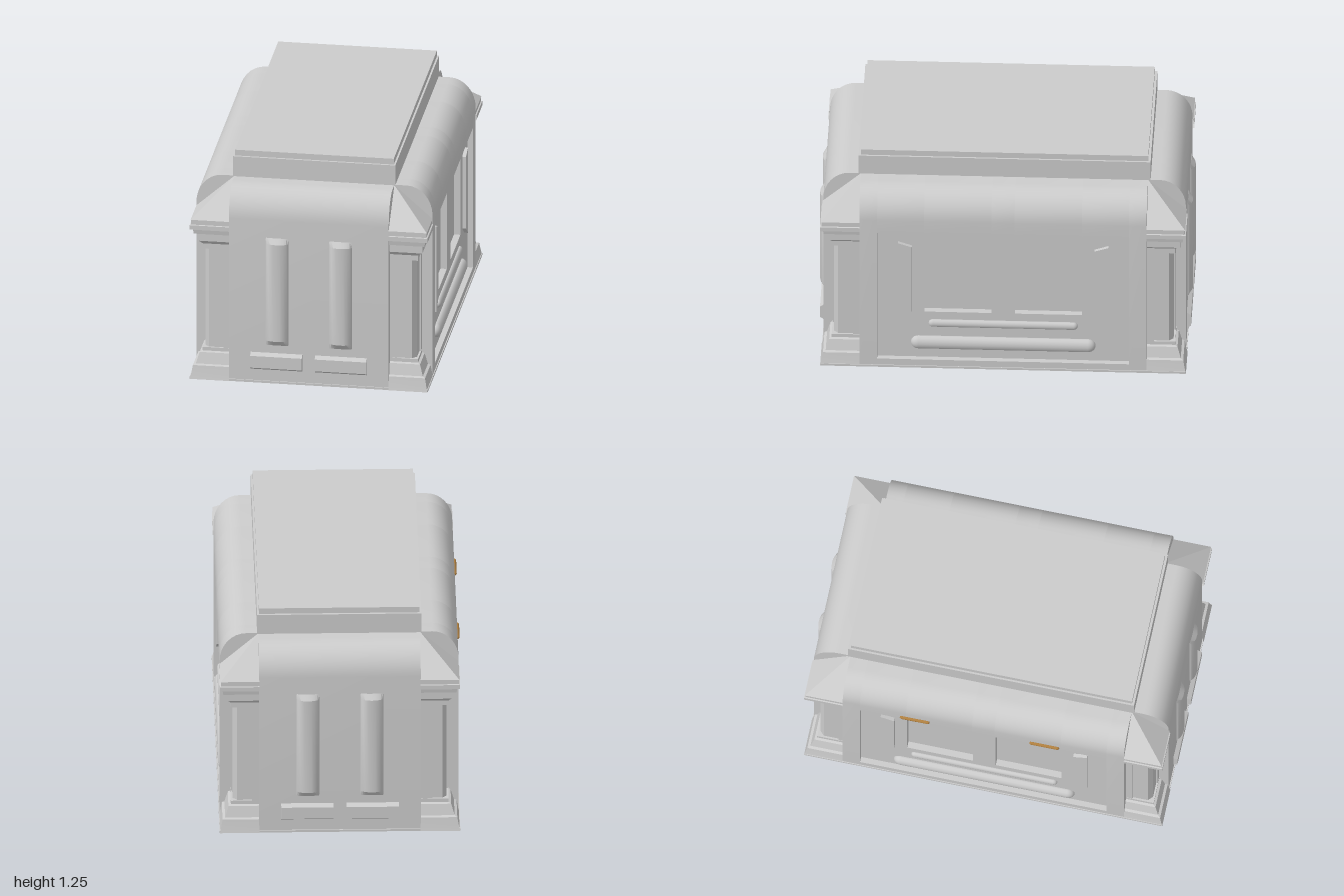
import * as THREE from 'three';
import { toCreasedNormals } from 'three/addons/utils/BufferGeometryUtils.js';

const grey = new THREE.MeshStandardMaterial({ color: 0xcccccc, side: THREE.DoubleSide });
const gold = new THREE.MeshStandardMaterial({ color: 0xb08040 });

function add(parent, name, geo, x = 0, y = 0, z = 0, mat = grey) {
  const m = new THREE.Mesh(geo, mat);
  m.name = name;
  m.position.set(x, y, z);
  parent.add(m);
  return m;
}

const shapeOf = pts => new THREE.Shape(pts.map(p => new THREE.Vector2(p[0], p[1])));
const extrude = (pts, depth) => toCreasedNormals(
  new THREE.ExtrudeGeometry(shapeOf(pts), { depth, bevelEnabled: false }), 0.6);

// Symmetric wall section: steps on the wall, then a rounded shoulder
function section(half, steps) {
  const right = [[half, 0], ...steps];
  for (let i = 0; i <= 8; i++) {
    const a = (i / 8) * Math.PI / 2;
    right.push([half - 0.14 + 0.14 * Math.cos(a), 0.94 + 0.165 * Math.sin(a)]);
  }
  return [...right, ...right.slice().reverse().map(([x, y]) => [-x, y])];
}

// Block whose outer (+z) face is narrowed at top and bottom
function wedgeBlock(w, h, d, bevel) {
  const g = new THREE.BoxGeometry(w, h, d).toNonIndexed();
  const p = g.attributes.position;
  for (let i = 0; i < p.count; i++) {
    if (p.getZ(i) > 0) p.setY(i, p.getY(i) - Math.sign(p.getY(i)) * bevel);
  }
  g.computeVertexNormals();
  return g;
}

// Vertical half-round bar whose ends slope back to the wall
function roundedBar() {
  const pts = [0.22, 0.25, 0.81, 0.84].map(y => new THREE.Vector2(0.0625, y));
  const g = new THREE.LatheGeometry(pts, 20);
  const p = g.attributes.position;
  for (let i = 0; i < p.count; i++) {
    const end = p.getY(i) < 0.23 || p.getY(i) > 0.83;
    p.setZ(i, p.getZ(i) * (end ? 0.1 : 0.48));
  }
  return toCreasedNormals(g, 0.5);
}

// Stack of square corner sections given as [reach, height]
function cornerStack(profile) {
  const g = new THREE.LatheGeometry(
    profile.map(p => new THREE.Vector2(p[0], p[1])), 2, 0, Math.PI / 2);
  const p = g.attributes.position;
  for (let i = 0; i < p.count; i++) {
    const x = p.getX(i), z = p.getZ(i);
    if (x > 1e-4 && z > 1e-4) {
      p.setX(i, x * Math.SQRT2);
      p.setZ(i, z * Math.SQRT2);
    }
  }
  return toCreasedNormals(g, 0.1);
}

function cornerPillar() {
  const g = new THREE.Group();
  g.name = 'cornerPillar';
  add(g, 'pillarBase', cornerStack([[0, 0], [0.212, 0], [0.205, 0.03], [0.197, 0.075],
    [0.183, 0.08], [0.165, 0.14], [0.152, 0.145], [0.152, 0.165], [0, 0.165]]));
  // Shaft with sunk panels on both faces and a chamfered corner
  const shaft = extrude([[0, 0], [0.15, 0], [0.15, 0.037], [0.142, 0.037], [0.142, 0.118],
    [0.118, 0.142], [0.037, 0.142], [0.037, 0.15], [0, 0.15]], 0.57);
  shaft.rotateX(Math.PI / 2);
  add(g, 'pillarShaft', shaft, 0, 0.735, 0);
  add(g, 'pillarCapital', cornerStack([[0, 0.735], [0.152, 0.735], [0.152, 0.765],
    [0.173, 0.79], [0.18, 0.79], [0.18, 0.83], [0.193, 0.835], [0.197, 0.86],
    [0.212, 0.865], [0.212, 0.89], [0.205, 0.892], [0.205, 0.92], [0, 0.92]]));
  add(g, 'pillarRoof', cornerStack([[0.208, 0.92], [0, 1.105]]));
  return g;
}

// Raised trim on one long side, facing +x
function longSideTrim() {
  const g = new THREE.Group();
  g.name = 'longSideTrim';
  for (const s of [-1, 1]) {
    const slat = extrude([[s * 0.565, 0.295], [s * 0.49, 0.35], [s * 0.49, 0.765], [s * 0.565, 0.79]], 0.03);
    slat.rotateY(Math.PI / 2);
    add(g, 'slantedSlat', slat, 0.6, 0, 0);
  }
  for (const [y, r, half] of [[0.27, 0.023, 0.4], [0.147, 0.04, 0.495]]) {
    const bar = new THREE.CapsuleGeometry(r, 2 * (half - r), 6, 14);
    bar.rotateX(Math.PI / 2);
    bar.scale(0.75, 1, 1);
    add(g, 'roundedRail', bar, 0.612, y, 0);
  }
  return g;
}

// Raised trim on one short end, facing +z
function shortEndTrim() {
  const g = new THREE.Group();
  g.name = 'shortEndTrim';
  for (const s of [-1, 1]) {
    add(g, 'verticalBar', roundedBar(), s * 0.172, 0, 0.97);
    add(g, 'lowerBlock', wedgeBlock(0.28, 0.12, 0.04, 0.026), s * 0.175, 0.125, 0.975);
  }
  return g;
}

export function createModel() {
  const model = new THREE.Group();
  model.name = 'building';

  // Floor slab
  add(model, 'floorSlab', new THREE.BoxGeometry(1.29, 0.012, 1.956), 0, 0.006, 0);

  // Main body in slices along z: plain ends, sunk panel, deeper windows
  const plain = section(0.64, []);
  const panel = section(0.64, [[0.64, 0.05], [0.61, 0.05], [0.61, 0.86], [0.64, 0.86]]);
  const windowed = section(0.64, [[0.64, 0.05], [0.61, 0.05], [0.61, 0.34], [0.575, 0.34],
    [0.575, 0.787], [0.61, 0.787], [0.61, 0.86], [0.64, 0.86]]);
  const slices = [[-0.77, -0.675, plain], [-0.675, -0.423, panel], [-0.423, -0.062, windowed],
    [-0.062, 0.062, panel], [0.062, 0.423, windowed], [0.423, 0.675, panel], [0.675, 0.77, plain]];
  for (const [z0, z1, pts] of slices) add(model, 'bodySection', extrude(pts, z1 - z0), 0, 0, z0);

  // Cross body reaching the short ends
  const cross = extrude(section(0.972, []), 0.866);
  cross.rotateY(Math.PI / 2);
  add(model, 'crossBody', cross, -0.433, 0, 0);

  // Stepped flat roof
  add(model, 'roofBlock', new THREE.BoxGeometry(0.88, 0.115, 1.566), 0, 1.1645, 0);
  add(model, 'roofCap', new THREE.BoxGeometry(0.86, 0.035, 1.54), 0, 1.2375, 0);

  // Pillars in the four corner notches
  [[1, 1], [1, -1], [-1, -1], [-1, 1]].forEach(([sx, sz], k) => {
    const p = cornerPillar();
    p.position.set(sx * 0.432, 0, sz * 0.769);
    p.rotation.y = k * Math.PI / 2;
    model.add(p);
  });

  // Trim on opposite faces
  for (const turn of [0, Math.PI]) {
    for (const trim of [longSideTrim(), shortEndTrim()]) {
      trim.rotation.y = turn;
      model.add(trim);
    }
  }

  // Small gold handles on one long side
  for (const z of [-0.375, 0.335]) {
    const handle = new THREE.CapsuleGeometry(0.012, 0.14, 4, 10);
    handle.rotateX(Math.PI / 2);
    add(model, 'goldHandle', handle, -0.641, 0.89, z, gold);
  }
  return model;
}
